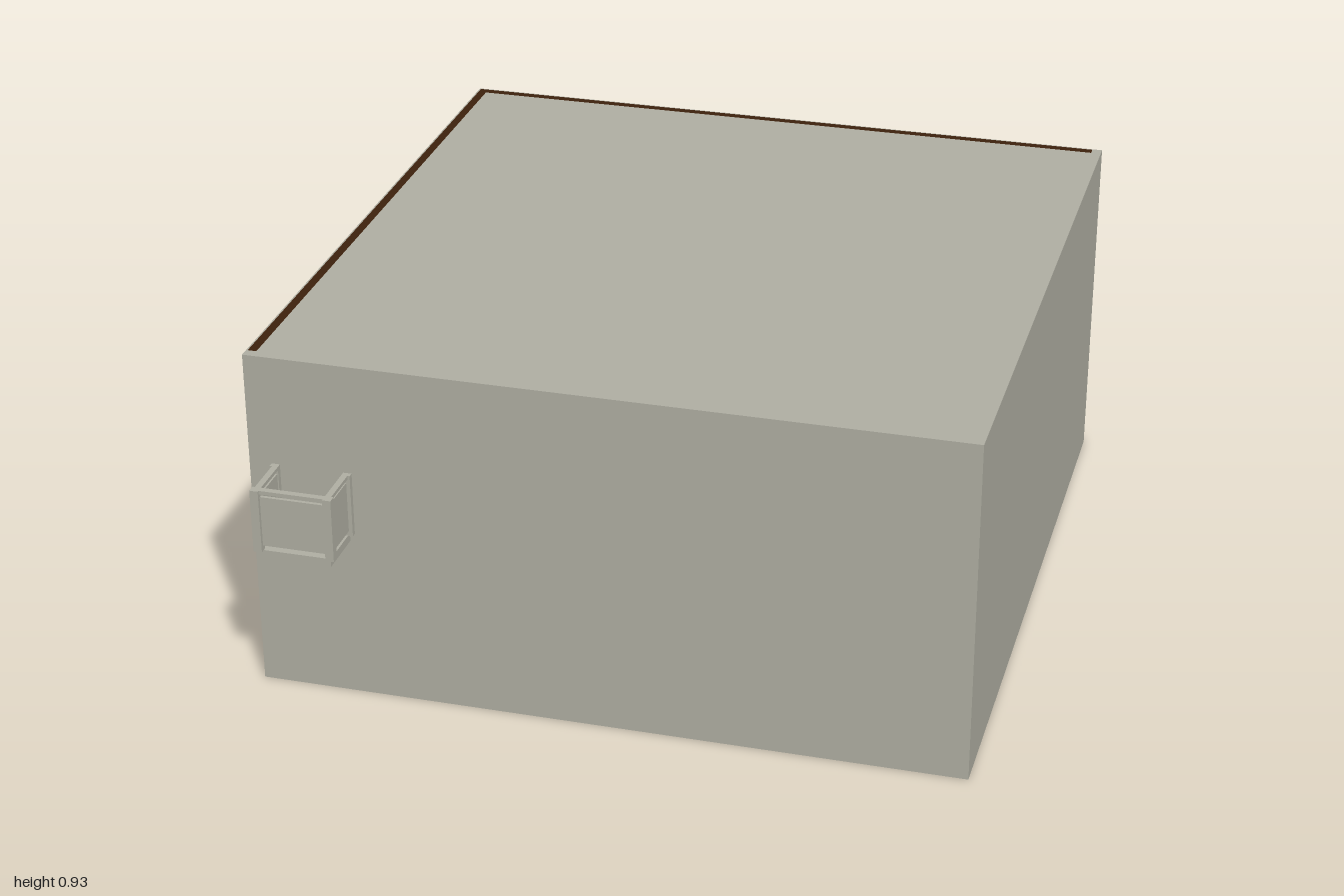
import * as THREE from 'three';

export function createModel() {
  const model = new THREE.Group();
  model.name = 'storeyBlock';
  const plaster = new THREE.MeshStandardMaterial({ color: 0xb0afa3 });
  plaster.name = 'warm grey plaster';
  const glazing = new THREE.MeshStandardMaterial({ color: 0x3d210d });
  glazing.name = 'dark brown glazing';

  // Box given by its min and max on each axis
  function box(parent, name, material, [x0, x1], [y0, y1], [z0, z1]) {
    const mesh = new THREE.Mesh(new THREE.BoxGeometry(x1 - x0, y1 - y0, z1 - z0), material);
    mesh.position.set((x0 + x1) / 2, (y0 + y1) / 2, (z0 + z1) / 2);
    mesh.name = name;
    parent.add(mesh);
    return mesh;
  }

  const X = 0.925, H = 0.93, BACK = -1, FRONT = 0.852, T = 0.027, D = 0.004;

  // Solid walls and ceiling; the underside is open
  const shell = new THREE.Group();
  shell.name = 'shell';
  model.add(shell);
  box(shell, 'frontWall', plaster, [-X, X], [0, H], [FRONT - T, FRONT]);
  box(shell, 'leftWall', plaster, [X - T, X], [0, H], [BACK, FRONT - T]);
  box(shell, 'ceiling', plaster, [-X + T, X - T], [H - T, H], [BACK + T, FRONT - T]);

  // Glazed walls, set just behind their frames
  box(shell, 'rightGlazing', glazing, [-X + D, -X + T], [0, H], [BACK + D, FRONT - T]);
  box(shell, 'backGlazing', glazing, [-X + T, X - T], [0, H], [BACK + D, BACK + T]);

  // Frame grid: three columns, two rows
  function frame(name, bar) {
    const group = new THREE.Group();
    group.name = name;
    model.add(group);
    const length = 2 * X, w = 0.032;
    bar(group, 'cornerPost', [0, w], [0, H]);
    bar(group, 'topRail', [w, length - T], [H - w, H]);
    bar(group, 'middleRail', [w, length - T], [0.435, 0.465]);
    for (const f of [1 / 3, 2 / 3]) {
      const c = length * f;
      bar(group, 'lowerMullion', [c - w / 2, c + w / 2], [0, 0.435]);
      bar(group, 'upperMullion', [c - w / 2, c + w / 2], [0.465, H - w]);
    }
  }
  frame('backFrame', (g, n, [a, b], y) => box(g, n, plaster, [-X + a, -X + b], y, [BACK, BACK + D]));
  frame('rightFrame', (g, n, [a, b], y) =>
    box(g, n, plaster, [-X, -X + D], y, [BACK + Math.max(a, D), BACK + b]));

  // Small balcony on the front wall
  const balcony = new THREE.Group();
  balcony.name = 'balcony';
  balcony.position.set(-0.76, 0, 0);
  model.add(balcony);
  box(balcony, 'balconyFloor', plaster, [-0.093, 0.093], [0.442, 0.464], [FRONT, 0.988]);
  for (const s of [-1, 1]) {
    const span = (a, b) => (s < 0 ? [-b, -a] : [a, b]);
    // Corner posts, side handrail and side panel
    box(balcony, 'frontPost', plaster, span(0.084, 0.106), [0.464, 0.635], [0.978, 1]);
    box(balcony, 'backPost', plaster, span(0.084, 0.106), [0.464, 0.635], [FRONT, 0.866]);
    box(balcony, 'sideHandrail', plaster, span(0.084, 0.1), [0.625, 0.635], [0.866, 0.978]);
    box(balcony, 'sidePanel', plaster, span(0.087, 0.096), [0.478, 0.615], [0.866, 0.978]);
  }
  box(balcony, 'frontHandrail', plaster, [-0.084, 0.084], [0.625, 0.635], [0.978, 0.995]);
  box(balcony, 'frontPanel', plaster, [-0.084, 0.084], [0.478, 0.615], [0.981, 0.99]);

  return model;
}
